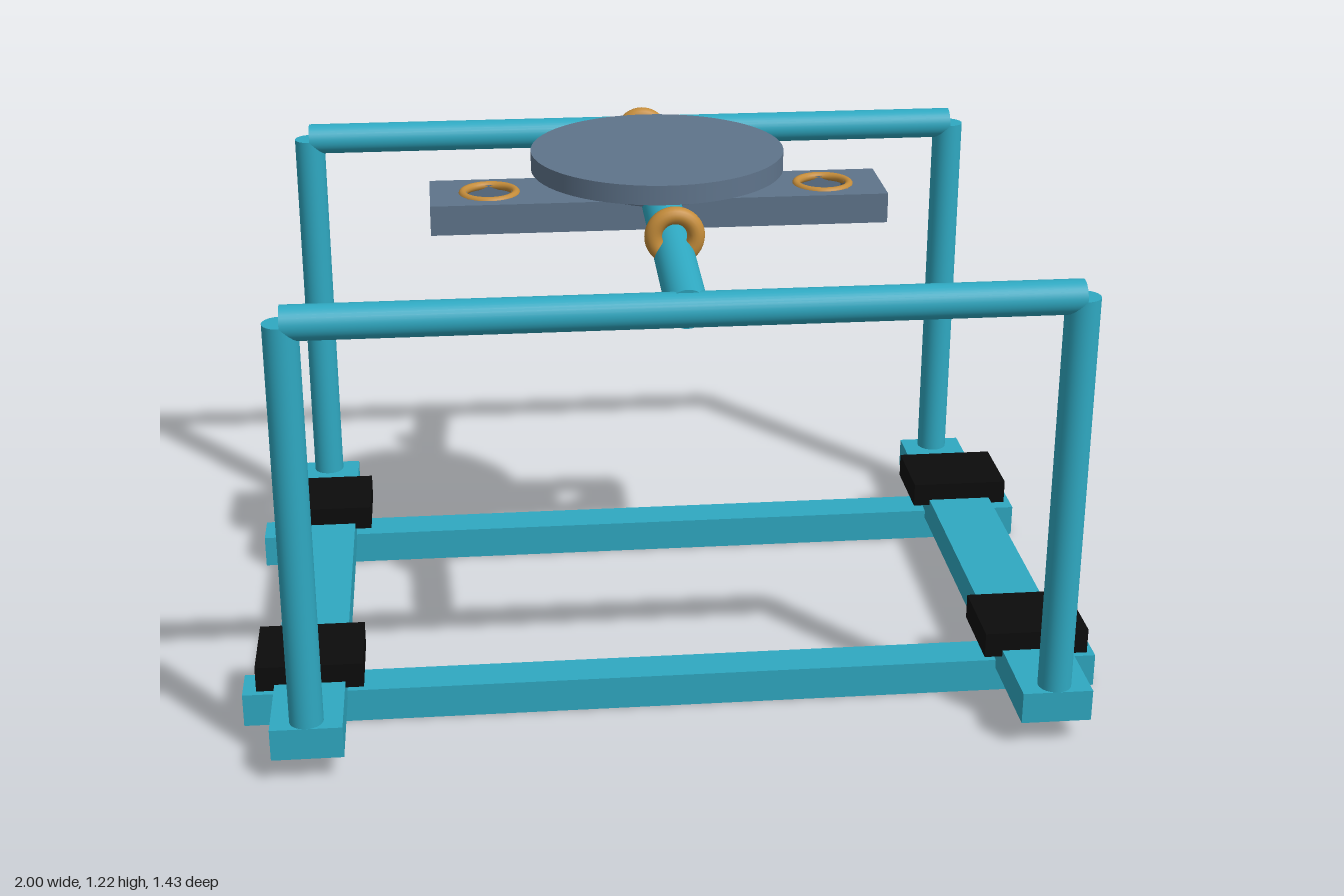
import * as THREE from 'three';

const material = (name, color) => {
  const m = new THREE.MeshStandardMaterial({ color });
  m.name = name;
  return m;
};

export function createModel() {
  const teal = material('teal paint', 0x2fa9c2);
  const slate = material('slate metal', 0x5f748b);
  const brass = material('brass', 0xc48c3a);
  const black = material('black rubber', 0x0c0c0c);

  const model = new THREE.Group();
  model.name = 'liftingFrame';

  const add = (name, geometry, mat, x, y, z) => {
    const mesh = new THREE.Mesh(geometry, mat);
    mesh.name = name;
    mesh.position.set(x, y, z);
    model.add(mesh);
    return mesh;
  };
  const box = (name, mat, w, h, d, x, y, z) =>
    add(name, new THREE.BoxGeometry(w, h, d), mat, x, y, z);

  // Round pipe between two points
  const pipe = (name, a, b, radius) => {
    const from = new THREE.Vector3(...a), to = new THREE.Vector3(...b);
    const dir = to.clone().sub(from);
    const mid = from.clone().add(to).multiplyScalar(0.5);
    const mesh = add(name, new THREE.CylinderGeometry(radius, radius, dir.length(), 32), teal, mid.x, mid.y, mid.z);
    mesh.quaternion.setFromUnitVectors(new THREE.Vector3(0, 1, 0), dir.normalize());
  };

  for (const s of [-1, 1]) {
    // Base: cross rails below, side rails on top
    box('crossRail', teal, 2, 0.08, 0.095, 0, 0.04, s * 0.411);
    box('sideRail', teal, 0.16, 0.075, 1.43, s * 0.84, 0.0975, 0);

    // Upright hoops at front and back
    for (const x of [-0.84, 0.84]) {
      pipe('post', [x, 0.13, s * 0.677], [x, 1.07, s * 0.677], 0.038);
      box('pad', black, 0.243, 0.06, 0.198, x, 0.15, s * 0.414);
    }
    pipe('topBar', [-0.84, 1.07, s * 0.677], [0.84, 1.07, s * 0.677], 0.038);

    // Sloping arm up to the hub, with its lifting ring
    pipe('slopingArm', [0, 1.07, s * 0.677], [0, 1.122, s * 0.06], 0.045);
    add('liftingRing', new THREE.TorusGeometry(0.047, 0.0195, 16, 40), brass, 0, 1.14, s * 0.405);

    // Eyelet around the plate hole
    add('eyelet', new THREE.TorusGeometry(0.062, 0.01, 12, 40), brass, s * 0.392, 1.122, 0)
      .rotation.x = Math.PI / 2;
  }

  // Hub plate with a square hole at each end
  const shape = new THREE.Shape([
    new THREE.Vector2(-0.53, -0.1), new THREE.Vector2(0.53, -0.1),
    new THREE.Vector2(0.53, 0.1), new THREE.Vector2(-0.53, 0.1),
  ]);
  for (const x of [-0.392, 0.392]) {
    const h = 0.052;
    shape.holes.push(new THREE.Path([
      new THREE.Vector2(x - h, -h), new THREE.Vector2(x - h, h),
      new THREE.Vector2(x + h, h), new THREE.Vector2(x + h, -h),
    ]));
  }
  const plate = new THREE.ExtrudeGeometry(shape, { depth: 0.07, bevelEnabled: false });
  plate.rotateX(-Math.PI / 2);
  add('hubPlate', plate, slate, 0, 1.055, 0);

  // Tapered hub and round table
  add('hub', new THREE.CylinderGeometry(0.158, 0.141, 0.055, 48), slate, 0, 1.149, 0);
  add('roundTable', new THREE.CylinderGeometry(0.294, 0.294, 0.045, 64), slate, 0, 1.197, 0);

  return model;
}
